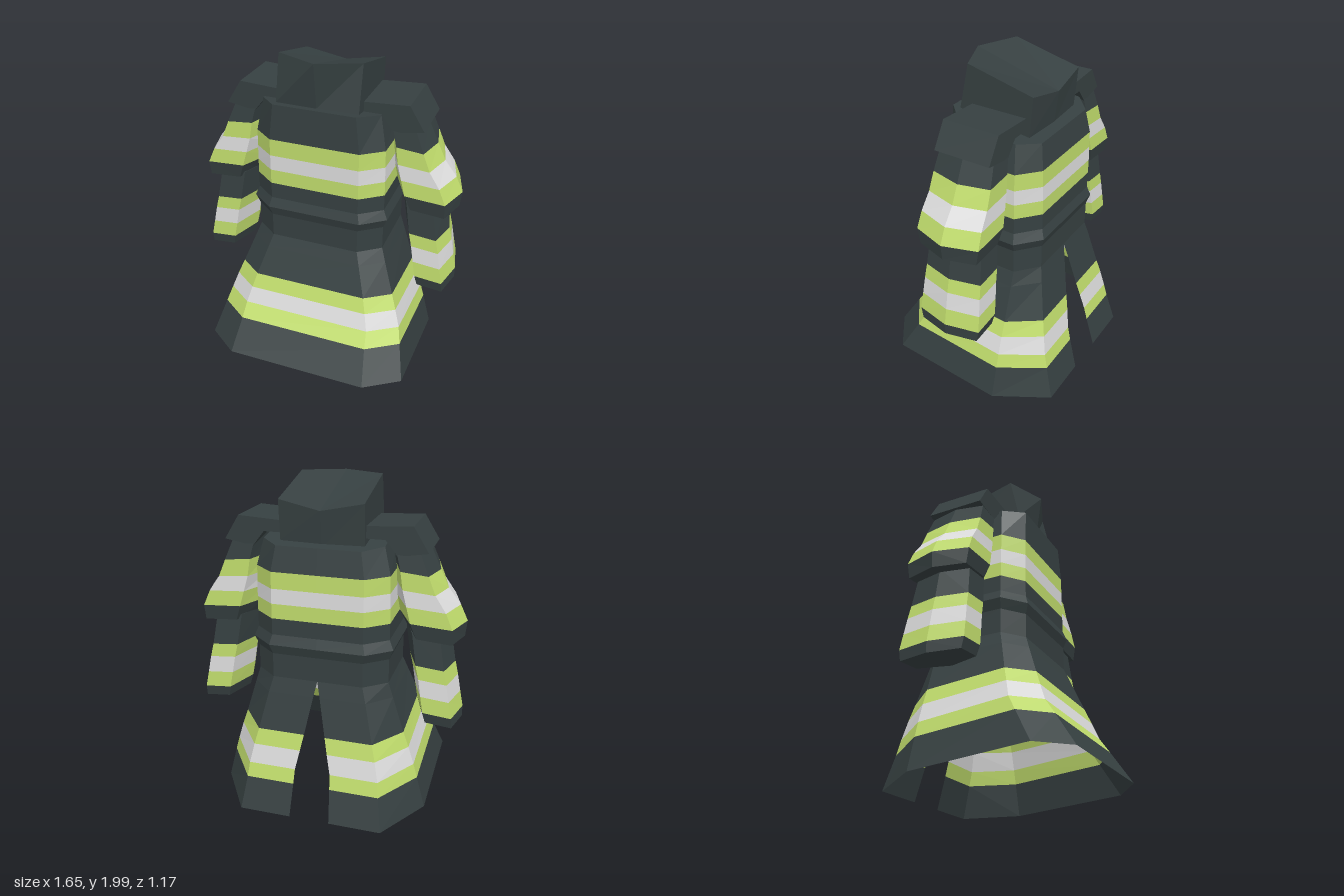
import * as THREE from 'three';

const mat = (name, color) => {
  const m = new THREE.MeshStandardMaterial({ color, flatShading: true, side: THREE.DoubleSide });
  m.name = name;
  return m;
};

// Lofts rings listed top to bottom; bands[i] is the material index of the strip below ring i.
function loft(name, rings, bands, materials, { closed = true, capTop = false, capEnd = false } = {}) {
  const pos = [];
  const geo = new THREE.BufferGeometry();
  const tri = (a, b, c) => pos.push(...a, ...b, ...c);
  const section = (index, build) => {
    const start = pos.length / 3;
    build();
    geo.addGroup(start, pos.length / 3 - start, index);
  };
  const n = rings[0].length;
  for (let r = 0; r < rings.length - 1; r++) {
    section(bands[r], () => {
      for (let i = 0; i < (closed ? n : n - 1); i++) {
        const j = (i + 1) % n, a = rings[r], b = rings[r + 1];
        tri(a[i], a[j], b[j]);
        tri(a[i], b[j], b[i]);
      }
    });
  }
  if (capTop) section(0, () => {
    for (let i = 1; i < n - 1; i++) tri(rings[0][0], rings[0][i + 1], rings[0][i]);
  });
  if (capEnd) section(0, () => {
    const e = rings[rings.length - 1];
    for (let i = 1; i < n - 1; i++) tri(e[0], e[i], e[i + 1]);
  });
  geo.setAttribute('position', new THREE.Float32BufferAttribute(pos, 3));
  geo.computeVertexNormals();
  const mesh = new THREE.Mesh(geo, materials);
  mesh.name = name;
  return mesh;
}

// Eight-cornered coat section, open at the back by half-width s, sloping from yf to yb.
function coatRing([yf, yb, hx, ix, zf, zfc, zbc, zb, s]) {
  const y = z => yb + (yf - yb) * (z - zb) / (zf - zb);
  const half = [[s, zb], [ix, zb], [hx, zbc], [hx, zfc], [ix, zf]];
  const all = [...half, ...half.slice().reverse().map(([x, z]) => [-x, z])];
  return all.map(([x, z]) => [x, y(z), z]);
}

// Six-sided sleeve section between outer and inner x; the outer side sits a little lower.
function sleeveRing([y, xo, xi, w]) {
  const zc = -0.083, at = f => xo + (xi - xo) * f;
  return [[0, 0], [0.15, 1], [0.75, 1], [1, 0], [0.75, -1], [0.15, -1]]
    .map(([f, k]) => [at(f), y + 0.025 * f, zc + k * w]);
}

export function createModel() {
  const model = new THREE.Group();
  model.name = 'coat';
  const mats = [mat('charcoal cloth', 0x364041), mat('lime stripe', 0xc0dc6c), mat('silver stripe', 0xdcdcdc)];

  // Upper coat with chest stripes and a belt ridge
  const waist = [0.85, 0.85, 0.405, 0.275, 0.23, 0.13, -0.28, -0.39, 0];
  model.add(loft('torso', [
    [1.73, 1.65, 0.36, 0.25, 0.225, 0.11, -0.26, -0.36, 0],
    [1.51, 1.50, 0.40, 0.275, 0.23, 0.13, -0.28, -0.385, 0],
    [1.405, 1.40, 0.402, 0.275, 0.23, 0.13, -0.28, -0.387, 0],
    [1.31, 1.31, 0.404, 0.275, 0.23, 0.13, -0.28, -0.39, 0],
    [1.22, 1.22, 0.405, 0.275, 0.23, 0.13, -0.28, -0.39, 0],
    [1.12, 1.12, 0.405, 0.275, 0.23, 0.13, -0.28, -0.39, 0],
    [1.06, 1.06, 0.43, 0.29, 0.25, 0.14, -0.29, -0.41, 0],
    [1.00, 1.00, 0.405, 0.275, 0.23, 0.13, -0.28, -0.39, 0],
    waist,
  ].map(coatRing), [0, 1, 2, 1, 0, 0, 0, 0], mats, { capTop: true }));

  // Flared skirt, split at the back
  model.add(loft('skirt', [
    waist,
    [0.77, 0.755, 0.435, 0.30, 0.26, 0.155, -0.28, -0.411, 0.02],
    [0.59, 0.52, 0.505, 0.355, 0.328, 0.21, -0.28, -0.46, 0.065],
    [0.50, 0.42, 0.54, 0.38, 0.362, 0.24, -0.28, -0.483, 0.085],
    [0.40, 0.30, 0.575, 0.405, 0.40, 0.27, -0.28, -0.508, 0.11],
    [0.31, 0.21, 0.60, 0.415, 0.46, 0.32, -0.28, -0.53, 0.115],
    [0.115, 0.007, 0.653, 0.445, 0.585, 0.43, -0.28, -0.585, 0.125],
  ].map(coatRing), [0, 0, 1, 2, 1, 0], mats, { closed: false }));

  // Standing collar, pointed at the front and lower at the back
  const collarRing = (yf, yc, yb, ym, zf, zc, zb, zm) => [
    [0, ym, zm], [0.25, yb, zb], [0.25, yc, zc], [0, yf, zf], [-0.25, yc, zc], [-0.25, yb, zb]];
  model.add(loft('collar', [
    collarRing(2.0, 2.0, 1.9, 1.85, 0.22, 0.115, -0.3, -0.315),
    collarRing(1.725, 1.725, 1.66, 1.64, 0.18, 0.175, -0.28, -0.29),
  ], [0], mats, { capTop: true }));

  for (const side of [1, -1]) {
    const arm = new THREE.Group();
    arm.name = side > 0 ? 'leftSleeve' : 'rightSleeve';

    // Folded shoulder pad
    const outline = [[0.24, 1.77], [0.515, 1.785], [0.605, 1.64], [0.43, 1.61], [0.36, 1.70], [0.24, 1.70]];
    const shape = new THREE.Shape(outline.map(([x, y]) => new THREE.Vector2(x, y)));
    const padGeo = new THREE.ExtrudeGeometry(shape, { depth: 0.35, bevelEnabled: false });
    padGeo.translate(0, 0, -0.258);
    const pad = new THREE.Mesh(padGeo, mats[0]);
    pad.name = 'shoulderPad';
    arm.add(pad);

    // Wide upper sleeve over a narrower forearm
    arm.add(loft('upperSleeve', [
      [1.65, 0.585, 0.36, 0.17], [1.51, 0.65, 0.385, 0.185], [1.405, 0.70, 0.39, 0.19],
      [1.31, 0.775, 0.40, 0.197], [1.215, 0.82, 0.42, 0.203], [1.12, 0.81, 0.47, 0.187],
    ].map(sleeveRing), [0, 1, 2, 1, 0], mats, { capTop: true, capEnd: true }));
    arm.add(loft('forearm', [
      [1.15, 0.73, 0.46, 0.17], [0.955, 0.765, 0.49, 0.185], [0.87, 0.785, 0.51, 0.19],
      [0.765, 0.805, 0.527, 0.197], [0.665, 0.825, 0.545, 0.203], [0.598, 0.825, 0.565, 0.19],
    ].map(sleeveRing), [0, 1, 2, 1, 0], mats, { capTop: true, capEnd: true }));

    // Mirror the vertices and reverse the corner order for the right arm
    if (side < 0) arm.children.forEach(({ geometry: g }) => {
      g.scale(-1, 1, 1);
      const p = g.attributes.position;
      const a = new THREE.Vector3(), b = new THREE.Vector3();
      for (let i = 0; i < p.count; i += 3) {
        a.fromBufferAttribute(p, i + 1);
        b.fromBufferAttribute(p, i + 2);
        p.setXYZ(i + 1, b.x, b.y, b.z);
        p.setXYZ(i + 2, a.x, a.y, a.z);
      }
      g.computeVertexNormals();
    });
    model.add(arm);
  }
  return model;
}
